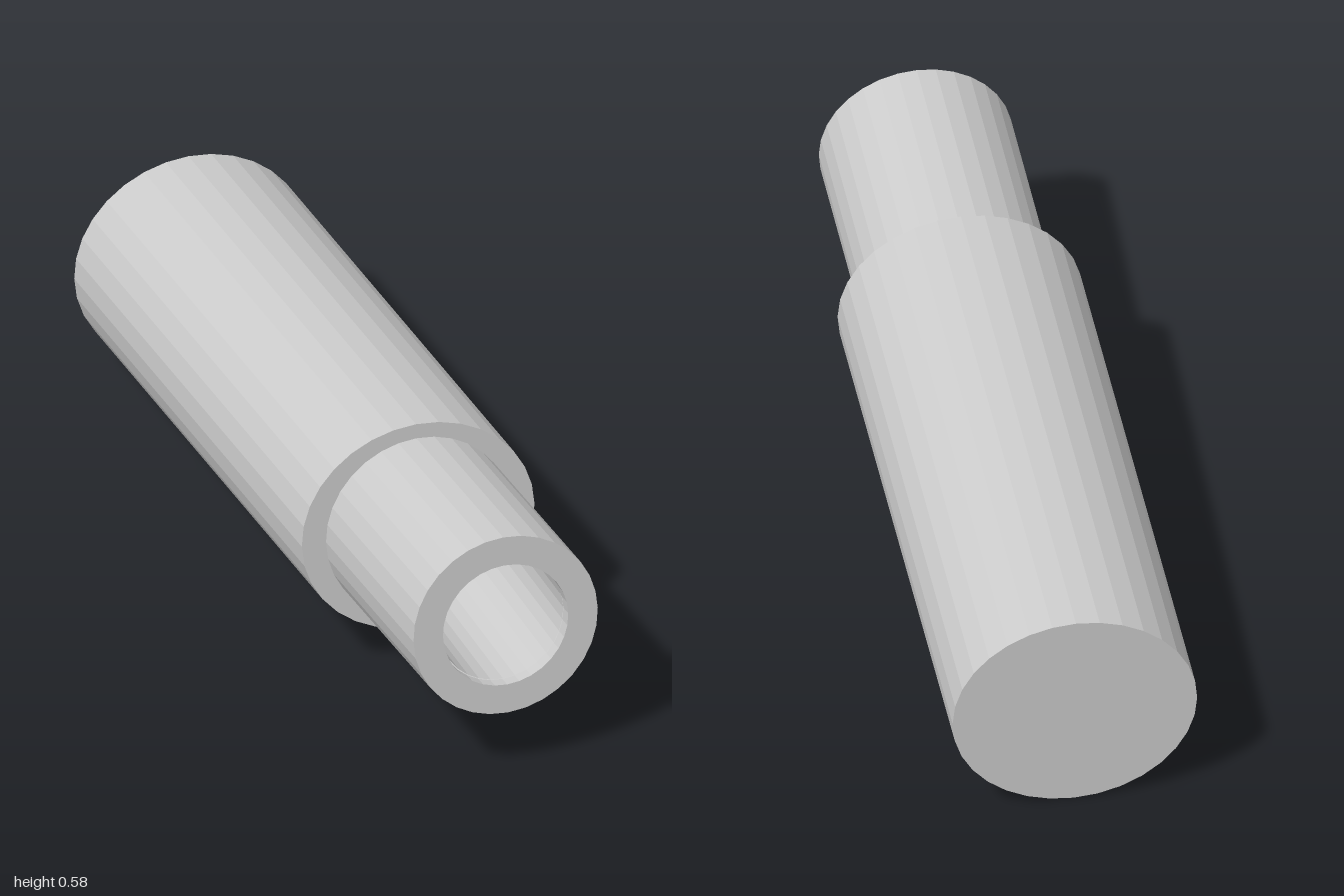
import * as THREE from 'three';

const SIDES = 32;
const TUBE_TILT = 0.07;
const TUBE_FRONT = new THREE.Vector3(0, 0.3665, 0.986);
const grey = new THREE.MeshStandardMaterial({ color: 0xcccccc, flatShading: true, side: THREE.DoubleSide });

// Cylinder lying along z
function barrel(name, radius, length, open) {
  const geometry = new THREE.CylinderGeometry(radius, radius, length, SIDES, 1, open);
  geometry.rotateX(Math.PI / 2);
  const mesh = new THREE.Mesh(geometry, grey);
  mesh.name = name;
  return mesh;
}

export function createModel() {
  const model = new THREE.Group();
  model.name = 'steppedTube';

  // Wide body, slightly wider than tall, with its front end raised
  const body = barrel('body', 1, 1.426, false);
  body.scale.set(0.274, 0.249, 1);
  body.rotation.x = -0.055;
  body.position.set(0, 0.289, -0.273);
  model.add(body);

  // Narrow neck, its origin at the centre of the front face
  const neck = new THREE.Group();
  neck.name = 'neck';
  neck.position.copy(TUBE_FRONT);
  neck.rotation.x = -TUBE_TILT;
  neck.scale.y = 0.988;
  const wall = barrel('neckWall', 0.217, 0.6, true);
  wall.position.z = -0.3;
  const face = new THREE.Mesh(new THREE.RingGeometry(0.1475, 0.217, SIDES), grey);
  face.name = 'neckFace';
  const lip = barrel('boreLip', 0.1475, 0.03, true);
  lip.position.z = -0.015;
  neck.add(wall, face, lip);
  model.add(neck);

  // Level bore, its front edge following the slanted face, its floor at the body
  const bore = barrel('bore', 0.146, 2, true);
  const p = bore.geometry.attributes.position;
  for (let i = 0; i < p.count; i++) {
    const front = TUBE_FRONT.z - 0.028 - p.getY(i) * TUBE_TILT;
    p.setZ(i, p.getZ(i) > 0 ? front : 0.4);
  }
  bore.geometry.computeVertexNormals();
  bore.position.y = 0.3675;
  model.add(bore);

  return model;
}
